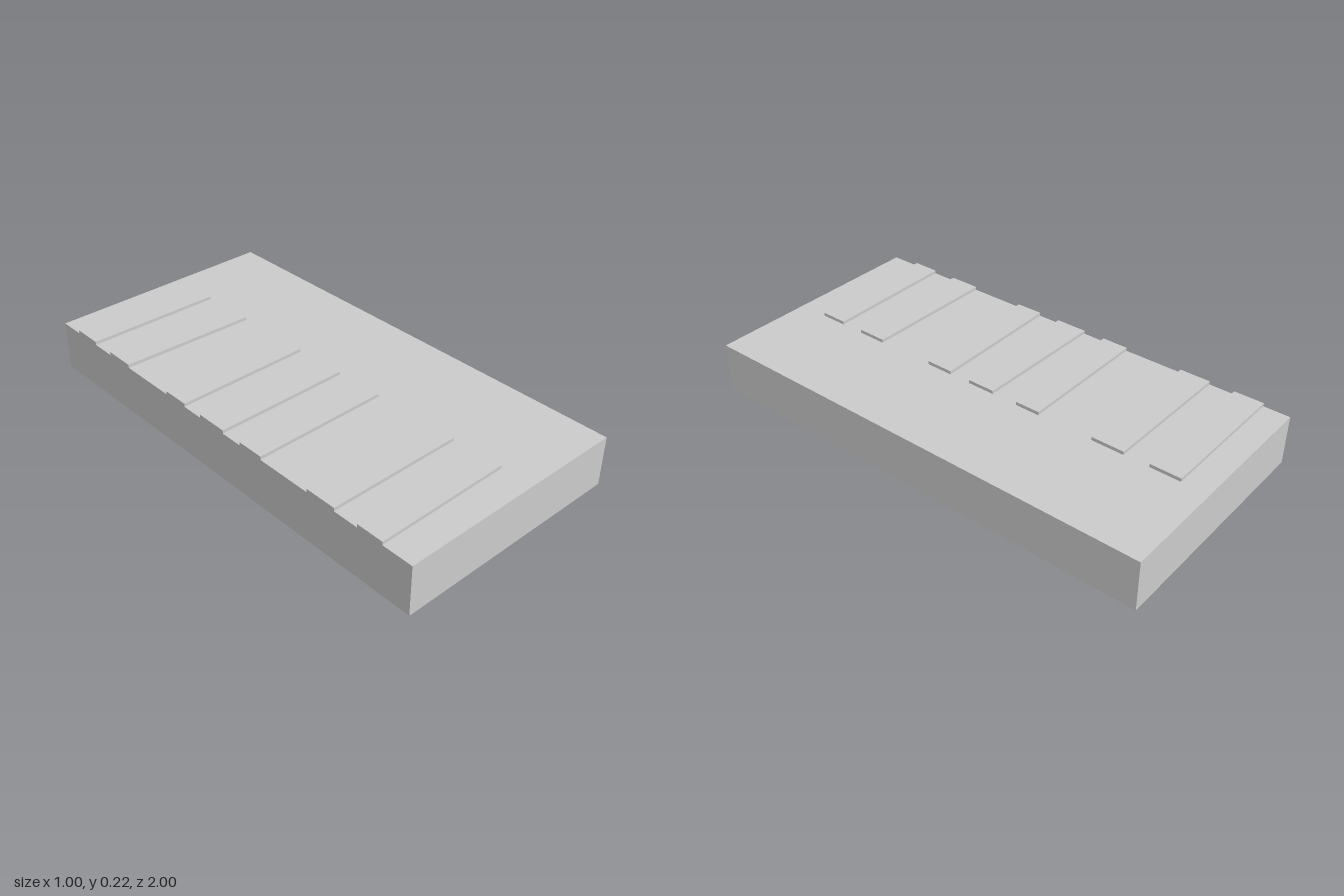
import * as THREE from 'three';

const BASE_HEIGHT = 0.21;
const STRIP_HEIGHT = 0.014;
const EDGE_X = -0.5;
const END_X = 0.08;

// Strip outlines: z limits at the outer edge, then at the inner end
const STRIPS = [
  [-0.89, -0.765, -0.888, -0.76],
  [-0.66, -0.53, -0.653, -0.515],
  [-0.278, -0.165, -0.276, -0.17],
  [-0.07, 0.065, -0.058, 0.06],
  [0.16, 0.275, 0.155, 0.27],
  [0.515, 0.648, 0.523, 0.648],
  [0.755, 0.87, 0.75, 0.865],
];

// Thin tapered plate lying on top of the slab
function stripGeometry([outerBack, outerFront, innerBack, innerFront]) {
  const shape = new THREE.Shape([
    new THREE.Vector2(EDGE_X, -outerFront),
    new THREE.Vector2(END_X, -innerFront),
    new THREE.Vector2(END_X, -innerBack),
    new THREE.Vector2(EDGE_X, -outerBack),
  ]);
  return new THREE.ExtrudeGeometry(shape, { depth: STRIP_HEIGHT, bevelEnabled: false })
    .rotateX(-Math.PI / 2)
    .translate(0, BASE_HEIGHT, 0);
}

export function createModel() {
  const model = new THREE.Group();
  const material = new THREE.MeshStandardMaterial({ color: 0xcccccc, flatShading: true });

  // Slab
  const base = new THREE.Mesh(new THREE.BoxGeometry(1, BASE_HEIGHT, 2), material);
  base.name = 'baseSlab';
  base.position.y = BASE_HEIGHT / 2;
  model.add(base);

  // Raised strips along the right edge
  STRIPS.forEach((limits, i) => {
    const strip = new THREE.Mesh(stripGeometry(limits), material);
    strip.name = `raisedStrip${i + 1}`;
    model.add(strip);
  });

  return model;
}
